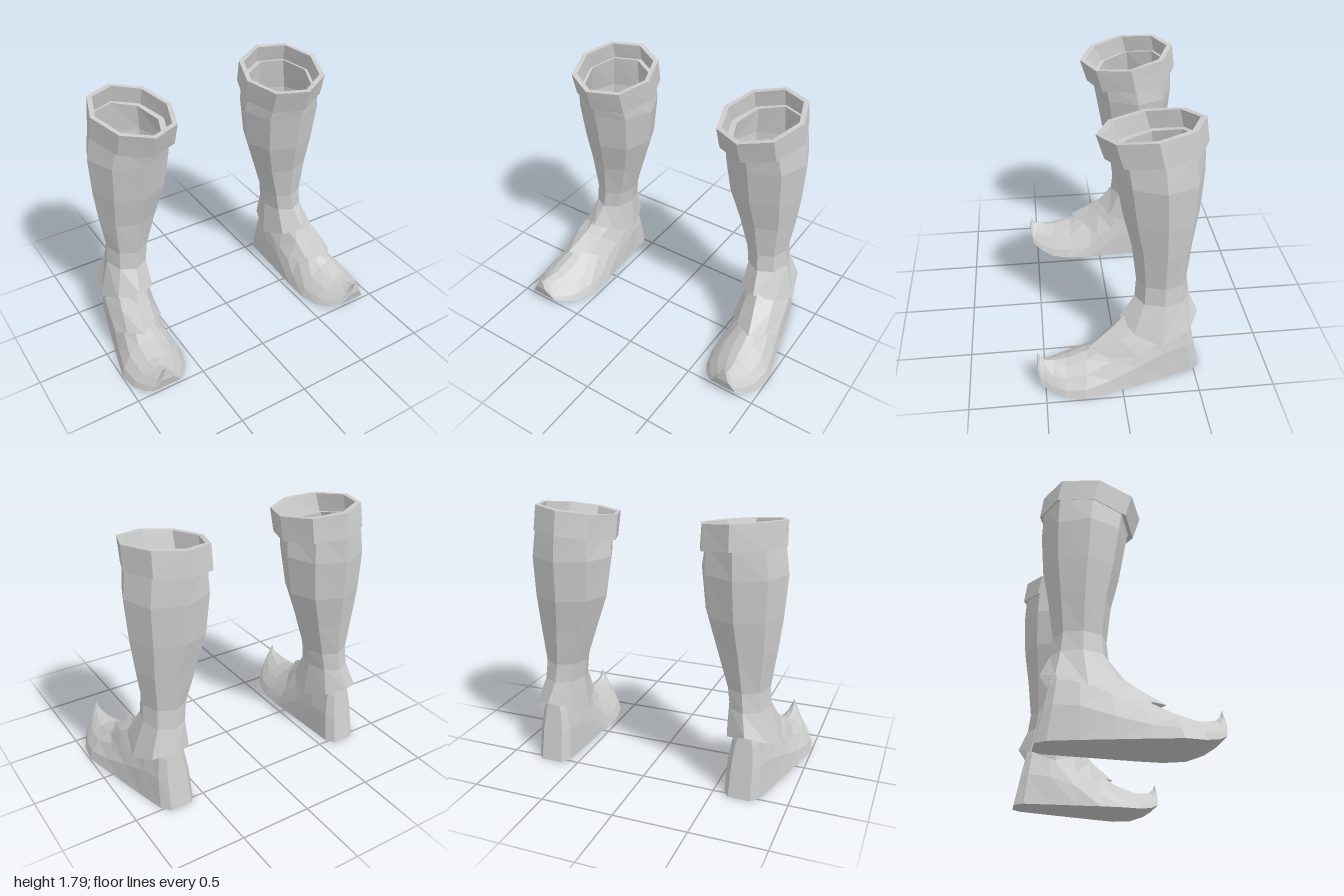
import * as THREE from 'three';

const material = new THREE.MeshStandardMaterial({ color: 0xcccccc, flatShading: true, side: THREE.DoubleSide });

// Skin a list of equal-length cross-sections; side = -1 mirrors in x
function loft(name, rings, side, { closed = true, capStart = false } = {}) {
  const n = rings[0].length, index = [];
  const tri = (a, b, c) => (side > 0 ? index.push(a, b, c) : index.push(a, c, b));
  for (let i = 0; i < rings.length - 1; i++) {
    for (let j = 0; j < (closed ? n : n - 1); j++) {
      const k = (j + 1) % n;
      const a = i * n + j, b = i * n + k, c = a + n, d = b + n;
      tri(a, b, d);
      tri(a, d, c);
    }
  }
  if (capStart) for (let j = 1; j < n - 1; j++) tri(0, j + 1, j);
  const indexed = new THREE.BufferGeometry();
  const points = rings.flat().flatMap(([x, y, z]) => [x * side, y, z]);
  indexed.setAttribute('position', new THREE.Float32BufferAttribute(points, 3));
  indexed.setIndex(index);
  const geometry = indexed.toNonIndexed();
  geometry.computeVertexNormals();
  const mesh = new THREE.Mesh(geometry, material);
  mesh.name = name;
  return mesh;
}

// Eight-sided ring; height may vary with the direction (s = outward, c = forward)
function octagon(cx, cz, rx, rz, height) {
  return Array.from({ length: 8 }, (_, k) => {
    const s = Math.sin(k * Math.PI / 4), c = Math.cos(k * Math.PI / 4);
    return [cx + rx * s, height(s, c), cz + rz * c];
  });
}
const level = y => () => y;
const tilted = y => (s, c) => y + 0.027 * s - 0.041 * c;

// Shaft: flared hem, calf, rim and inner wall
function shaft(side) {
  const wall = [
    [0.57, 0.67, -0.283, 0.14, 0.178],
    [0.70, 0.655, -0.28, 0.145, 0.165],
    [0.95, 0.63, -0.28, 0.205, 0.195],
    [1.18, 0.605, -0.27, 0.255, 0.243],
    [1.45, 0.595, -0.255, 0.28, 0.275],
  ];
  const t = 0.03;
  const hem = octagon(0.702, -0.263, 0.19, 0.258, (s, c) => 0.31 + 0.123 * Math.abs(c) ** 1.5);
  const outer = wall.map(([y, x, z, rx, rz]) => octagon(x, z, rx, rz, level(y)));
  const inner = wall.map(([y, x, z, rx, rz]) => octagon(x, z, rx - t, rz - t, level(y))).reverse();
  return loft('shaft', [
    hem, ...outer,
    octagon(0.585, -0.235, 0.255, 0.285, tilted(1.63)),
    octagon(0.585, -0.235, 0.215, 0.245, tilted(1.63)),
    ...inner,
  ], side);
}

// Cuff: thick tilted band around the top
function cuff(side) {
  const bottom = (k, y) => octagon(0.572, -0.233, 0.28 * k, 0.313 * k, tilted(y));
  const top = k => octagon(0.567, -0.197, 0.277 * k, 0.327 * k, tilted(1.745));
  return loft('cuff', [bottom(0.88, 1.6), bottom(1, 1.585), top(1), top(0.88), bottom(0.88, 1.62)], side);
}

// Foot: arched sections from heel to curled toe
function foot(side) {
  // z at sole, z at ridge, inner x, outer x, ridge x, sole y, ridge y, arch exponent
  const sections = [
    [-0.54, -0.45, 0.61, 0.76, 0.69, 0, 0.46, 0.8],
    [-0.48, -0.41, 0.57, 0.81, 0.69, 0, 0.52, 0.9],
    [-0.30, -0.30, 0.56, 0.86, 0.69, 0, 0.54, 1],
    [-0.10, -0.13, 0.55, 0.91, 0.71, 0, 0.45, 1.2],
    [0.08, 0.06, 0.54, 0.955, 0.75, 0, 0.32, 1.35],
    [0.25, 0.22, 0.54, 0.995, 0.78, 0, 0.225, 1.3],
    [0.38, 0.36, 0.575, 0.975, 0.79, 0.005, 0.18, 1.3],
    [0.47, 0.44, 0.63, 0.93, 0.80, 0.03, 0.178, 1.4],
    [0.53, 0.50, 0.69, 0.89, 0.80, 0.065, 0.19, 1.6],
    [0.55, 0.525, 0.755, 0.84, 0.80, 0.15, 0.215, 1.6],
    [0.54, 0.54, 0.80, 0.80, 0.80, 0.255, 0.255, 1],
  ];
  const rings = sections.map(([zb, zt, xi, xo, xr, yb, yt, p]) =>
    Array.from({ length: 9 }, (_, k) => {
      const a = k * Math.PI / 8, c = Math.cos(a);
      const h = Math.max(0, Math.sin(a)) ** p;
      const w = Math.sign(c) * Math.abs(c) ** p * (xo - xi) / 2;
      const mid = THREE.MathUtils.lerp((xi + xo) / 2, xr, h);
      return [mid + w, THREE.MathUtils.lerp(yb, yt, h), THREE.MathUtils.lerp(zb, zt, h)];
    }));
  return loft('foot', rings, side, { capStart: true });
}

// Pointed flap draped over the instep
function instepFlap(side) {
  return loft('instepFlap', [
    [[0.885, 0.31, -0.22], [0.81, 0.43, -0.14], [0.70, 0.51, -0.10], [0.60, 0.43, -0.14], [0.545, 0.31, -0.22]],
    [[0.905, 0.25, -0.10], [0.85, 0.345, 0.0], [0.745, 0.375, 0.05], [0.64, 0.345, 0.0], [0.56, 0.25, -0.10]],
    [[0.92, 0.19, 0.02], [0.875, 0.245, 0.11], [0.795, 0.265, 0.21], [0.655, 0.245, 0.11], [0.565, 0.19, 0.02]],
  ], side, { closed: false });
}

export function createModel() {
  const model = new THREE.Group();
  model.name = 'bootPair';
  for (const side of [1, -1]) {
    const boot = new THREE.Group();
    boot.name = side > 0 ? 'leftBoot' : 'rightBoot';
    boot.add(foot(side), instepFlap(side), shaft(side), cuff(side));
    model.add(boot);
  }
  return model;
}
